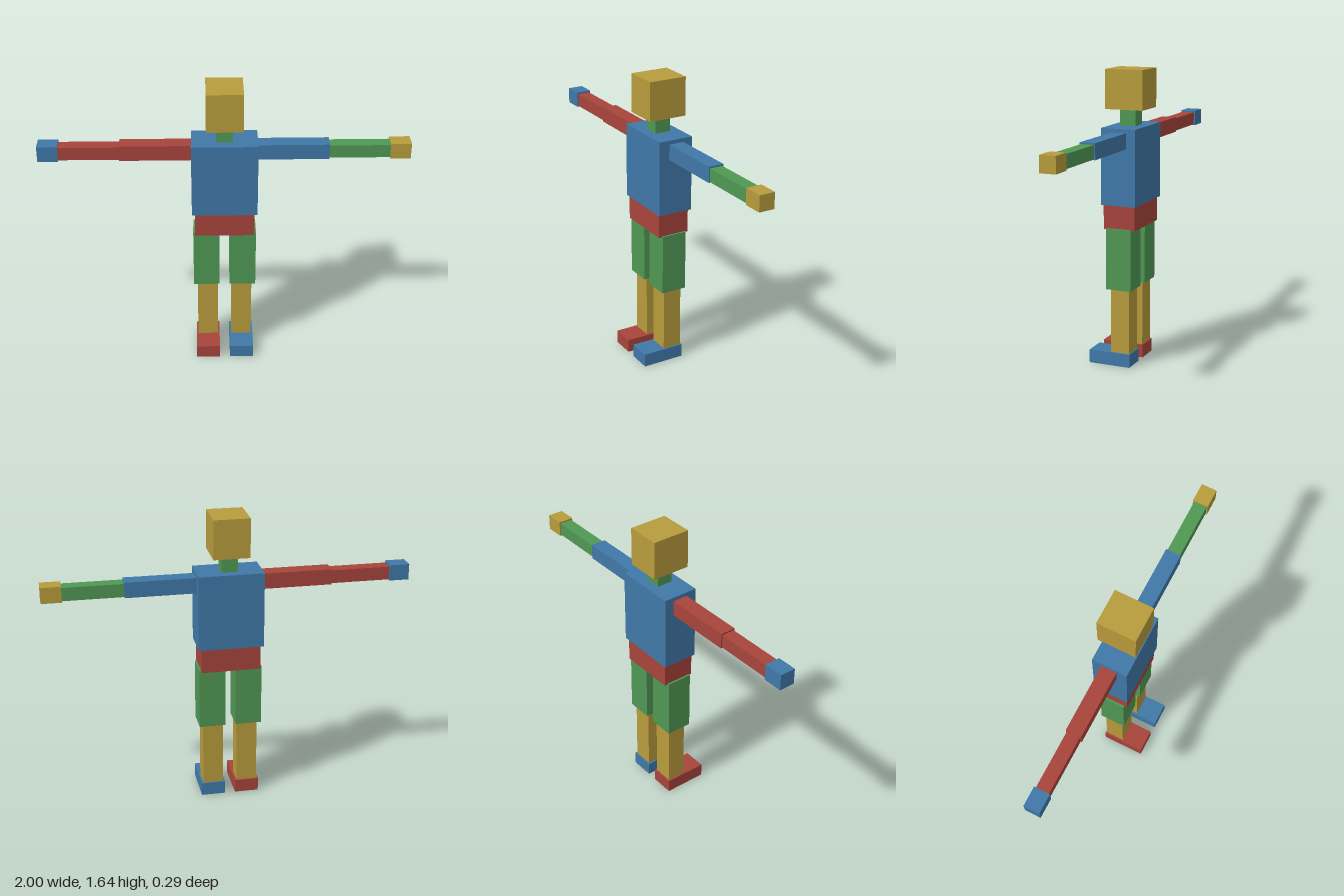
import * as THREE from 'three';

const mat = (name, color) => {
  const m = new THREE.MeshStandardMaterial({ color });
  m.name = name;
  return m;
};

export function createModel() {
  const blue = mat('blue', 0x4078a8);
  const red = mat('red', 0xa8443c);
  const green = mat('green', 0x509854);
  const gold = mat('gold', 0xb89c3c);

  const model = new THREE.Group();
  model.name = 'blockFigure';

  // Box given by its [min, max] extent on each axis
  const block = (parent, name, material, x, y, z) => {
    const size = [x, y, z].map(([a, b]) => Math.abs(b - a));
    const mesh = new THREE.Mesh(new THREE.BoxGeometry(...size), material);
    mesh.position.set(...[x, y, z].map(([a, b]) => (a + b) / 2));
    mesh.name = name;
    parent.add(mesh);
  };

  // Head and trunk
  block(model, 'head', gold, [-0.099, 0.099], [1.422, 1.637], [-0.144, 0.072]);
  block(model, 'neck', green, [-0.044, 0.044], [1.33, 1.422], [-0.082, 0.008]);
  block(model, 'chest', blue, [-0.179, 0.179], [0.911, 1.33], [-0.137, 0.062]);
  block(model, 'hips', red, [-0.163, 0.163], [0.776, 0.911], [-0.127, 0.054]);

  // Limbs, mirrored in shape but coloured separately per side
  const sides = [
    { name: 'left', s: 1, upper: blue, fore: green, hand: gold, foot: blue },
    { name: 'right', s: -1, upper: red, fore: red, hand: blue, foot: red },
  ];
  for (const { name, s, upper, fore, hand, foot } of sides) {
    const arm = new THREE.Group();
    arm.name = name + 'Arm';
    block(arm, name + 'UpperArm', upper, [s * 0.179, s * 0.563], [1.223, 1.309], [-0.083, 0.003]);
    block(arm, name + 'Forearm', fore, [s * 0.563, s * 0.89], [1.227, 1.3], [-0.076, -0.003]);
    block(arm, name + 'Hand', hand, [s * 0.89, s], [1.222, 1.31], [-0.084, 0.004]);

    const leg = new THREE.Group();
    leg.name = name + 'Leg';
    block(leg, name + 'Thigh', green, [s * 0.029, s * 0.174], [0.44, 0.782], [-0.108, 0.037]);
    block(leg, name + 'Shin', gold, [s * 0.039, s * 0.153], [0.075, 0.44], [-0.091, 0.016]);
    block(leg, name + 'Foot', foot, [s * 0.029, s * 0.163], [0, 0.075], [-0.098, 0.144]);
    model.add(arm, leg);
  }
  return model;
}
